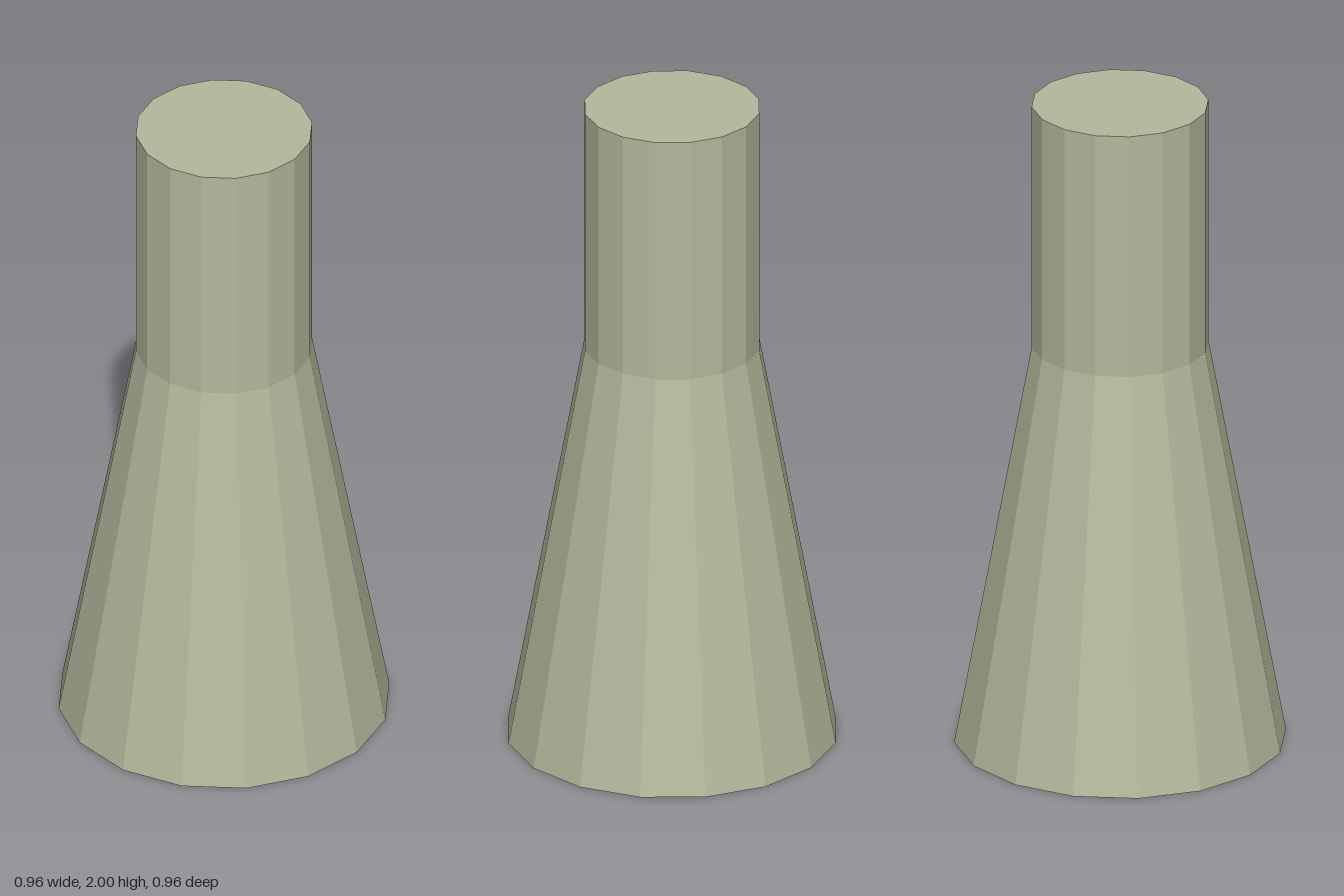
import * as THREE from 'three';

const SIDES = 16;
const BASE_RADIUS = 0.488;
const NECK_RADIUS = 0.26;
const SHOULDER_Y = 1.24;
const HEIGHT = 2;

export function createModel() {
  const model = new THREE.Group();
  model.name = 'flaredPost';
  const material = new THREE.MeshStandardMaterial({ color: 0xb5b89c, flatShading: true });

  // One closed faceted body: tapered foot, straight neck, flat caps
  const profile = [
    [0, 0],
    [BASE_RADIUS, 0],
    [NECK_RADIUS, SHOULDER_Y],
    [NECK_RADIUS, HEIGHT],
    [0, HEIGHT],
  ].map(([r, y]) => new THREE.Vector2(r, y));

  // Half-step start angle puts flat facets on the four main sides
  const geometry = new THREE.LatheGeometry(profile, SIDES, Math.PI / SIDES);
  const body = new THREE.Mesh(geometry, material);
  body.name = 'body';
  model.add(body);

  return model;
}
